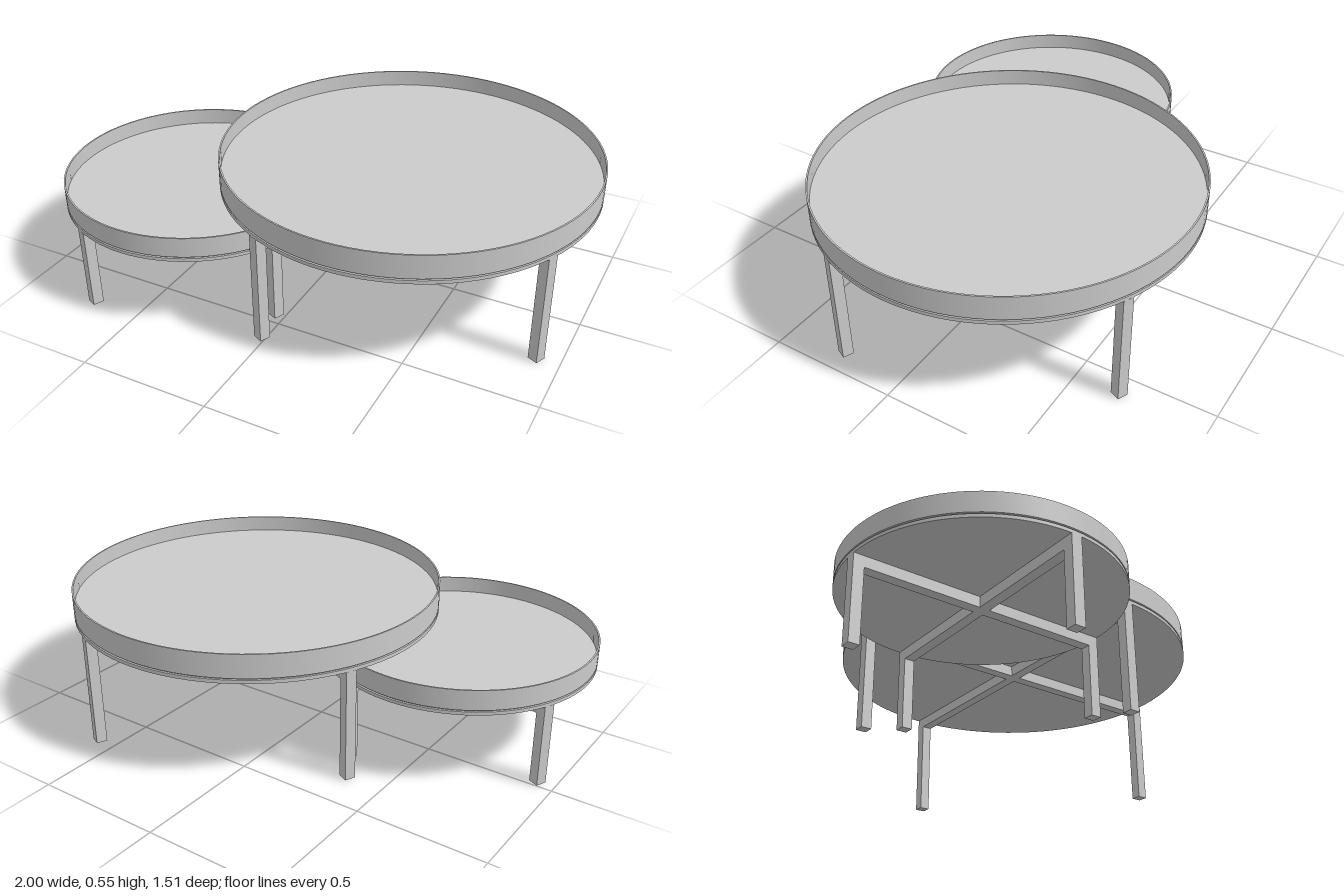
import * as THREE from 'three';
import { toCreasedNormals } from 'three/addons/utils/BufferGeometryUtils.js';

const material = new THREE.MeshStandardMaterial({ color: 0xcccccc });
const LEG = 0.041; // square tube width
const TURN = -0.44; // rotation of the crossed frame

function addMesh(parent, name, geometry) {
  const mesh = new THREE.Mesh(geometry, material);
  mesh.name = name;
  parent.add(mesh);
  return mesh;
}

// Round tray: base plate, shadow groove, thin raised rim and recessed floor
function trayGeometry(radius, bottom, rimBottom, top) {
  const plateTop = rimBottom - 0.006;
  const floor = top - 0.063;
  const profile = [
    [0, bottom], [radius, bottom], [radius, plateTop], [radius - 0.008, plateTop],
    [radius - 0.008, rimBottom], [radius, rimBottom], [radius, top],
    [radius - 0.006, top], [radius - 0.006, floor], [0, floor],
  ].map(([x, y]) => new THREE.Vector2(x, y));
  return toCreasedNormals(new THREE.LatheGeometry(profile, 96), 0.6);
}

// L-shaped arm: half a crossbar running out to a leg
function armGeometry(radius, barBottom, barTop) {
  const shape = new THREE.Shape();
  shape.moveTo(LEG / 2, barBottom);
  shape.lineTo(radius - LEG, barBottom);
  shape.lineTo(radius - LEG, 0);
  shape.lineTo(radius, 0);
  shape.lineTo(radius, barTop);
  shape.lineTo(LEG / 2, barTop);
  shape.closePath();
  const geometry = new THREE.ExtrudeGeometry(shape, { depth: LEG, bevelEnabled: false });
  return geometry.translate(0, 0, -LEG / 2);
}

function createTable({ name, x, z, radius, barBottom, bottom, rimBottom, top }) {
  const table = new THREE.Group();
  table.name = name;
  table.position.set(x, 0, z);
  addMesh(table, 'trayTop', trayGeometry(radius, bottom, rimBottom, top));

  // Crossed frame with four legs
  const frame = new THREE.Group();
  frame.name = 'crossFrame';
  frame.rotation.y = TURN;
  table.add(frame);
  const arm = armGeometry(radius, barBottom, bottom);
  for (let i = 0; i < 4; i++) {
    addMesh(frame, 'legArm', arm).rotation.y = (i * Math.PI) / 2;
  }
  const height = bottom - barBottom;
  const hub = addMesh(frame, 'frameHub', new THREE.BoxGeometry(LEG, height, LEG));
  hub.position.y = barBottom + height / 2;
  return table;
}

export function createModel() {
  const model = new THREE.Group();
  model.name = 'nestingTables';
  model.add(
    createTable({
      name: 'largeTable', x: 0.281, z: -0.039, radius: 0.718,
      barBottom: 0.397, bottom: 0.439, rimBottom: 0.459, top: 0.55,
    }),
    createTable({
      name: 'smallTable', x: -0.485, z: 0.241, radius: 0.515,
      barBottom: 0.28, bottom: 0.322, rimBottom: 0.341, top: 0.418,
    }),
  );
  return model;
}
